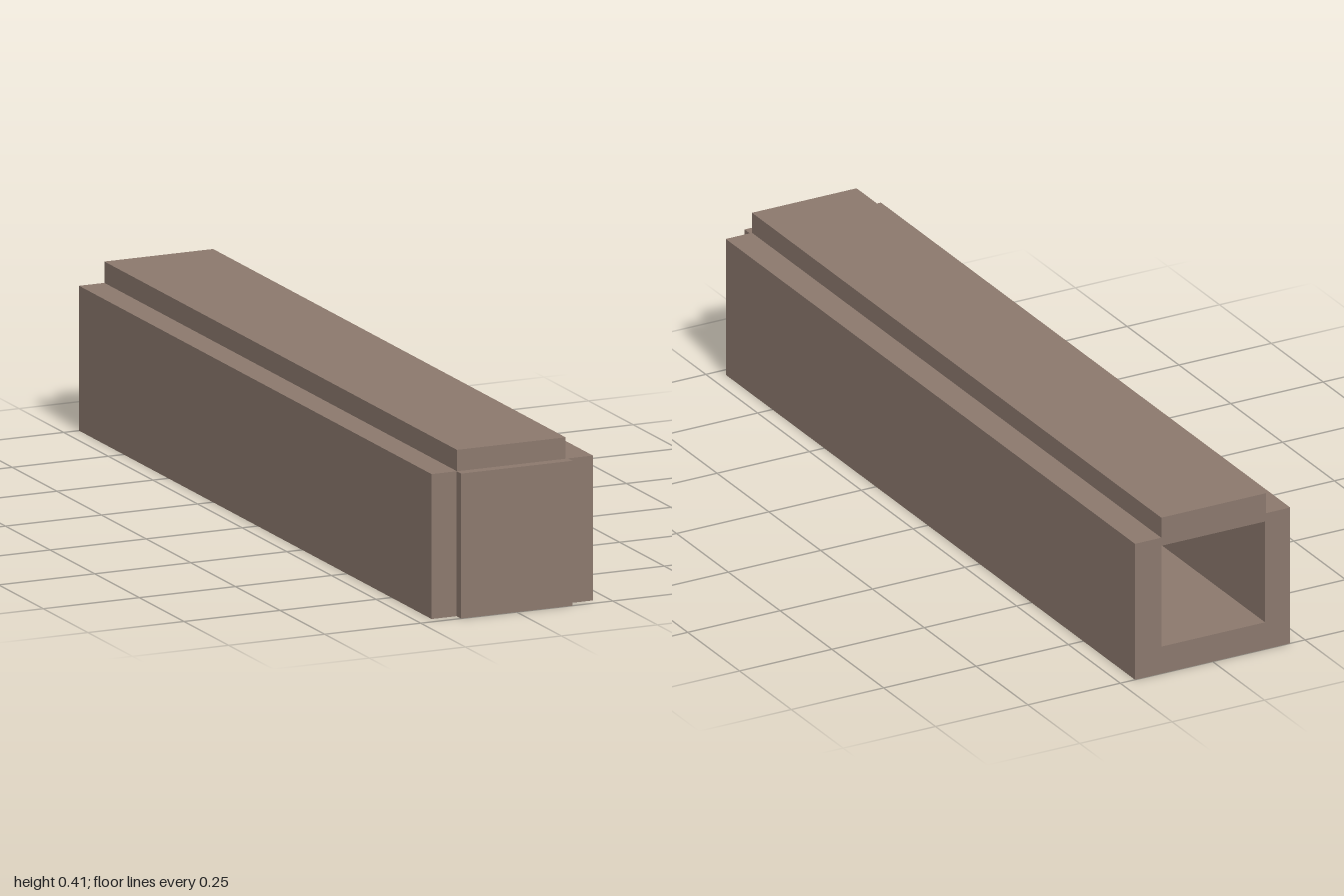
import * as THREE from 'three';

export function createModel() {
  const group = new THREE.Group();
  const brown = new THREE.MeshStandardMaterial({ color: 0x8b786d });
  const path = (points) => points.map(([x, y]) => new THREE.Vector2(x, y));

  // Hollow beam with a raised strip along its top
  const section = new THREE.Shape(path([
    [-0.21, 0], [0.21, 0], [0.21, 0.353], [0.139, 0.353],
    [0.139, 0.405], [-0.144, 0.405], [-0.144, 0.353], [-0.21, 0.353],
  ]));
  section.holes.push(new THREE.Path(path([
    [-0.142, 0.07], [-0.142, 0.332], [0.139, 0.332], [0.139, 0.07],
  ])));
  const beamGeometry = new THREE.ExtrudeGeometry(section, { depth: 1.975, bevelEnabled: false });
  beamGeometry.translate(0, 0, -1);
  const beam = new THREE.Mesh(beamGeometry, brown);
  beam.name = 'hollowBeam';
  group.add(beam);

  // Plate closing the front end
  const plate = new THREE.Mesh(new THREE.BoxGeometry(0.29, 0.353, 0.025), brown);
  plate.name = 'frontPlate';
  plate.position.set(0, 0.1765, 0.9875);
  group.add(plate);

  return group;
}
